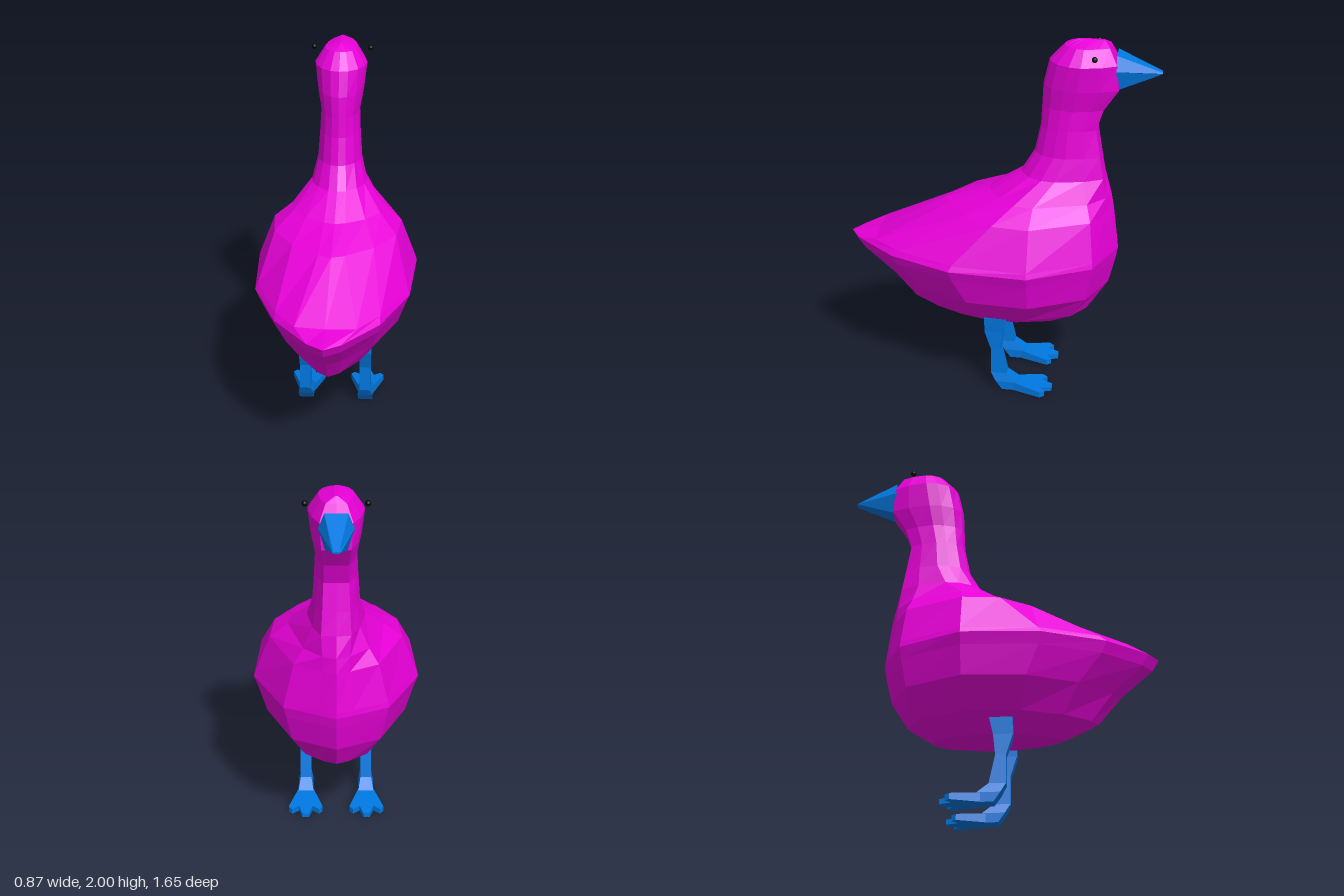
import * as THREE from 'three';

const plumage = new THREE.MeshStandardMaterial({ color: 0xe800d8, flatShading: true });
const blue = new THREE.MeshStandardMaterial({ color: 0x0078e0, flatShading: true });
const black = new THREE.MeshStandardMaterial({ color: 0x000000 });

// Joins a stack of equal-length rings into a closed, faceted skin.
function loft(rings) {
  const pos = [];
  const tri = (...pts) => pts.forEach((p) => pos.push(...p));
  const n = rings[0].length;
  const middle = (ring) => [0, 1, 2].map((k) => ring.reduce((s, p) => s + p[k], 0) / n);
  const first = rings[0], last = rings[rings.length - 1];
  const bottom = middle(first), top = middle(last);
  for (let i = 0; i < n; i++) {
    const j = (i + 1) % n;
    for (let r = 0; r + 1 < rings.length; r++) {
      const a = rings[r], b = rings[r + 1];
      tri(a[i], b[i], a[j]);
      tri(b[i], b[j], a[j]);
    }
    tri(bottom, first[i], first[j]);
    tri(top, last[j], last[i]);
  }
  const g = new THREE.BufferGeometry();
  g.setAttribute('position', new THREE.Float32BufferAttribute(pos, 3));
  g.computeVertexNormals();
  return g;
}

function part(name, geometry, material) {
  const mesh = new THREE.Mesh(geometry, material);
  mesh.name = name;
  return mesh;
}

// Half outlines: [relative width, length from front (-1) over widest point (0) to back (1)]
const bodyShape = [[0, -1], [0.2, -0.92], [0.62, -0.74], [1, 0], [0.94, 0.405], [0.62, 0.73], [0.2, 0.945], [0, 1]];
const tailShape = [[0, -1], [0.2, -0.92], [0.62, -0.74], [1, 0], [0.93, 0.46], [0.63, 0.82], [0.37, 0.985], [0, 1]];
const neckShape = [[0, -1], [0.58, -0.98], [0.85, -0.55], [1, 0], [0.93, 0.36], [0.7, 0.72], [0.34, 0.94], [0, 1]];

function bodyRing([y, front, mid, back, width, t, shape = bodyShape]) {
  const half = shape.map(([x, u], i) => {
    const [nx, nu] = neckShape[i];
    const v = u + (nu - u) * t;
    return [(x + (nx - x) * t) * width, y, mid + v * (v < 0 ? mid - front : back - mid)];
  });
  const other = half.slice(1, -1).reverse().map(([x, h, z]) => [-x, h, z]);
  return [...half, ...other];
}

function createBody() {
  // height, front z, widest z, back z, half width, blend from body to neck outline
  const sections = [
    [0.39, -0.37, -0.1, 0.32, 0.13, 0.3],
    [0.475, -0.5, -0.16, 0.5, 0.25, 0.15],
    [0.62, -0.59, -0.19, 0.62, 0.37, 0],
    [0.77, -0.625, -0.19, 0.79, 0.415, 0],
    [0.83, -0.635, -0.19, 0.825, 0.437, 0],
    [0.86, -0.632, -0.19, 0.67, 0.427, 0, tailShape],
    [1.07, -0.605, -0.19, 0.295, 0.348, 0],
    [1.15, -0.59, -0.2, 0.06, 0.25, 0.2],
    [1.26, -0.555, -0.3, -0.11, 0.15, 0.8],
    [1.38, -0.53, -0.35, -0.18, 0.12, 1],
    [1.53, -0.505, -0.36, -0.21, 0.11, 1],
    [1.64, -0.54, -0.38, -0.215, 0.105, 1],
    [1.755, -0.615, -0.4, -0.22, 0.125, 1],
    [1.89, -0.602, -0.42, -0.25, 0.14, 1],
    [1.972, -0.56, -0.43, -0.325, 0.088, 1],
    [2.0, -0.53, -0.46, -0.39, 0.01, 1],
  ];
  return part('bodyAndHead', loft(sections.map(bodyRing)), plumage);
}

function createBeak() {
  const ring = (z, w, top, seam, low) => [
    [w * 0.65, top, z], [-w * 0.65, top, z], [-w, seam, z],
    [-w * 0.65, low, z], [w * 0.65, low, z], [w, seam, z],
  ];
  return part('beak', loft([
    ring(-0.595, 0.088, 1.937, 1.862, 1.75),
    ring(-0.825, 0.02, 1.845, 1.84, 1.835),
  ]), blue);
}

function createLeg(side) {
  const leg = new THREE.Group();
  leg.name = side > 0 ? 'leftLeg' : 'rightLeg';
  leg.position.x = side * 0.168;

  // shank and heel: height, front z, back z, half width
  const rings = [
    [0, -0.12, -0.035, 0.04], [0.05, -0.12, 0, 0.042], [0.1, -0.06, 0.028, 0.03],
    [0.25, -0.027, 0.028, 0.03], [0.36, -0.038, 0.063, 0.033], [0.45, -0.058, 0.063, 0.042],
  ].map(([y, f, b, w]) => [[-w, y, f], [w, y, f], [w, y, b], [-w, y, b]]);
  leg.add(part('shank', loft(rings), blue));

  // webbed foot: outline [x, distance forward], thinned towards the toes
  const half = [[0.042, 0.1], [0.094, 0.25], [0.075, 0.275], [0.038, 0.245], [0.018, 0.308]];
  const outline = [...half, ...half.slice().reverse().map(([x, d]) => [-x, d])];
  const shape = new THREE.Shape(outline.map(([x, d]) => new THREE.Vector2(x, d)));
  const foot = new THREE.ExtrudeGeometry(shape, { depth: 1, bevelEnabled: false });
  foot.rotateX(-Math.PI / 2);
  const p = foot.attributes.position;
  for (let i = 0; i < p.count; i++) p.setY(i, p.getY(i) * (0.06 + 0.11 * p.getZ(i)));
  foot.computeVertexNormals();
  leg.add(part('webbedFoot', foot, blue));
  return leg;
}

export function createModel() {
  const duck = new THREE.Group();
  duck.name = 'duck';
  duck.add(createBody(), createBeak());
  for (const side of [1, -1]) {
    duck.add(createLeg(side));
    const eye = part(side > 0 ? 'leftEye' : 'rightEye', new THREE.SphereGeometry(0.015, 12, 8), black);
    eye.position.set(side * 0.152, 1.945, -0.49);
    duck.add(eye);
  }
  return duck;
}
